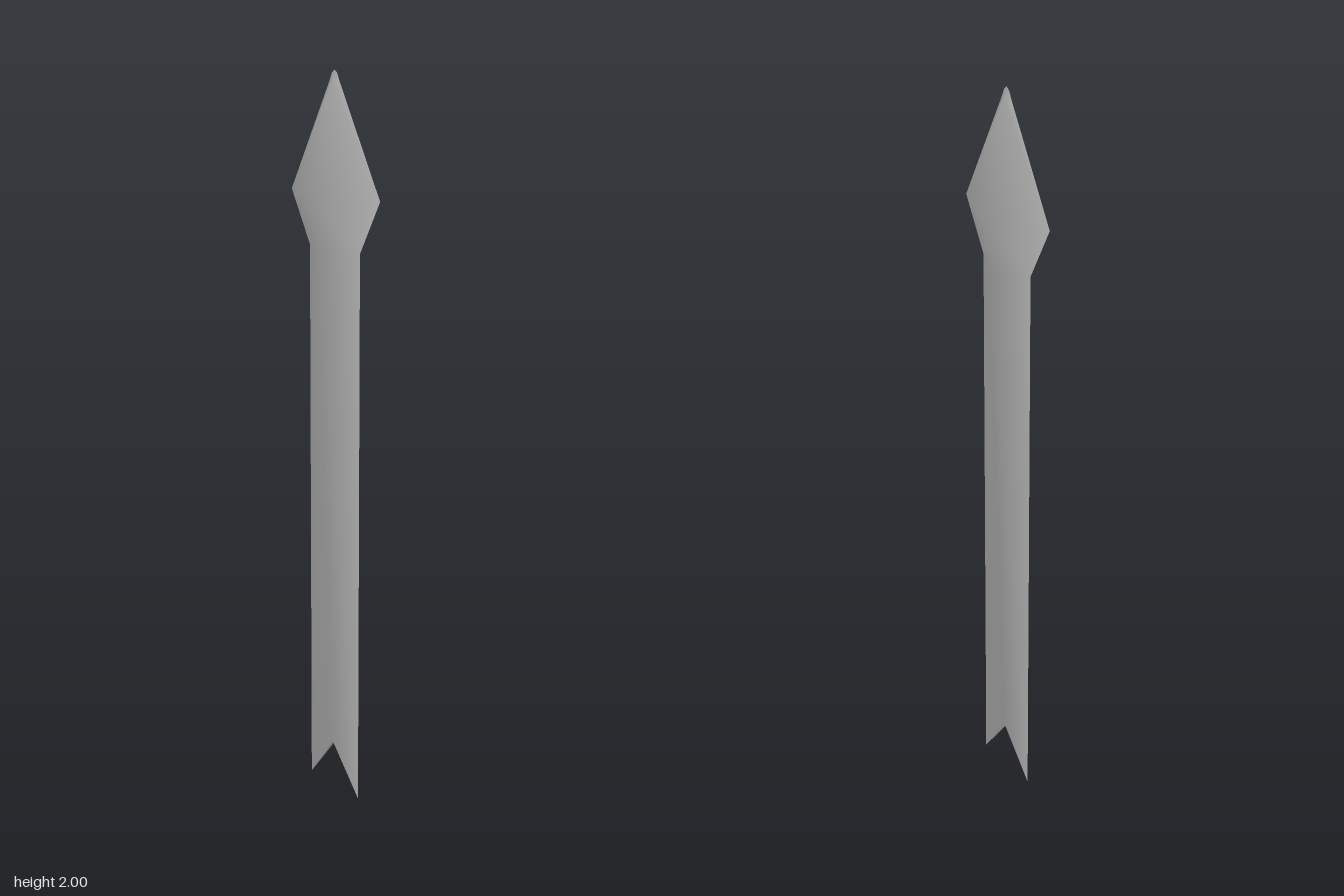
import * as THREE from 'three';

const material = new THREE.MeshStandardMaterial({ color: 0xcccccc, side: THREE.DoubleSide });

// Each row: edge half-width, edge height, ridge height, ridge depth (bottom to tip)
const sections = [
  [0.114, 0.0, 0.135, 0.006],
  [0.114, 1.535, 1.535, 0.054],
  [0.2, 1.678, 1.678, 0.078],
  [0.022, 1.972, 1.972, 0.007],
  [0.012, 1.992, 1.992, 0.002],
  [0, 2, 2, 0],
];

function makeMesh(name, positions, indices) {
  const geometry = new THREE.BufferGeometry();
  geometry.setAttribute('position', new THREE.Float32BufferAttribute(positions, 3));
  geometry.setIndex(indices);
  geometry.computeVertexNormals();
  const mesh = new THREE.Mesh(geometry, material);
  mesh.name = name;
  return mesh;
}

// One smooth face: a central ridge sloping to a sharp edge on both sides
function bladeFace(name, side) {
  const positions = [];
  const indices = [];
  for (const [w, edgeY, ridgeY, z] of sections) {
    positions.push(-w * side, edgeY, 0, 0, ridgeY, z * side, w * side, edgeY, 0);
  }
  for (let i = 0; i < sections.length - 1; i++) {
    for (let j = 0; j < 2; j++) {
      const a = i * 3 + j, b = a + 1, c = a + 3, d = a + 4;
      if (i === sections.length - 2) indices.push(a, b, j === 0 ? d : c);
      else if (j === 0) indices.push(a, b, d, a, d, c);
      else indices.push(a, b, c, b, d, c);
    }
  }
  return makeMesh(name, positions, indices);
}

// Thin sloping wall on each side of the V-shaped notch
function notchWall(name, side) {
  const [w, edgeY, ridgeY, z] = sections[0];
  return makeMesh(name, [0, ridgeY, z * side, 0, ridgeY, -z * side, side * w, edgeY, 0], [0, 1, 2]);
}

export function createModel() {
  const group = new THREE.Group();
  group.name = 'spearBlade';
  group.add(
    bladeFace('frontFace', 1),
    bladeFace('backFace', -1),
    notchWall('leftNotchWall', 1),
    notchWall('rightNotchWall', -1),
  );
  return group;
}
